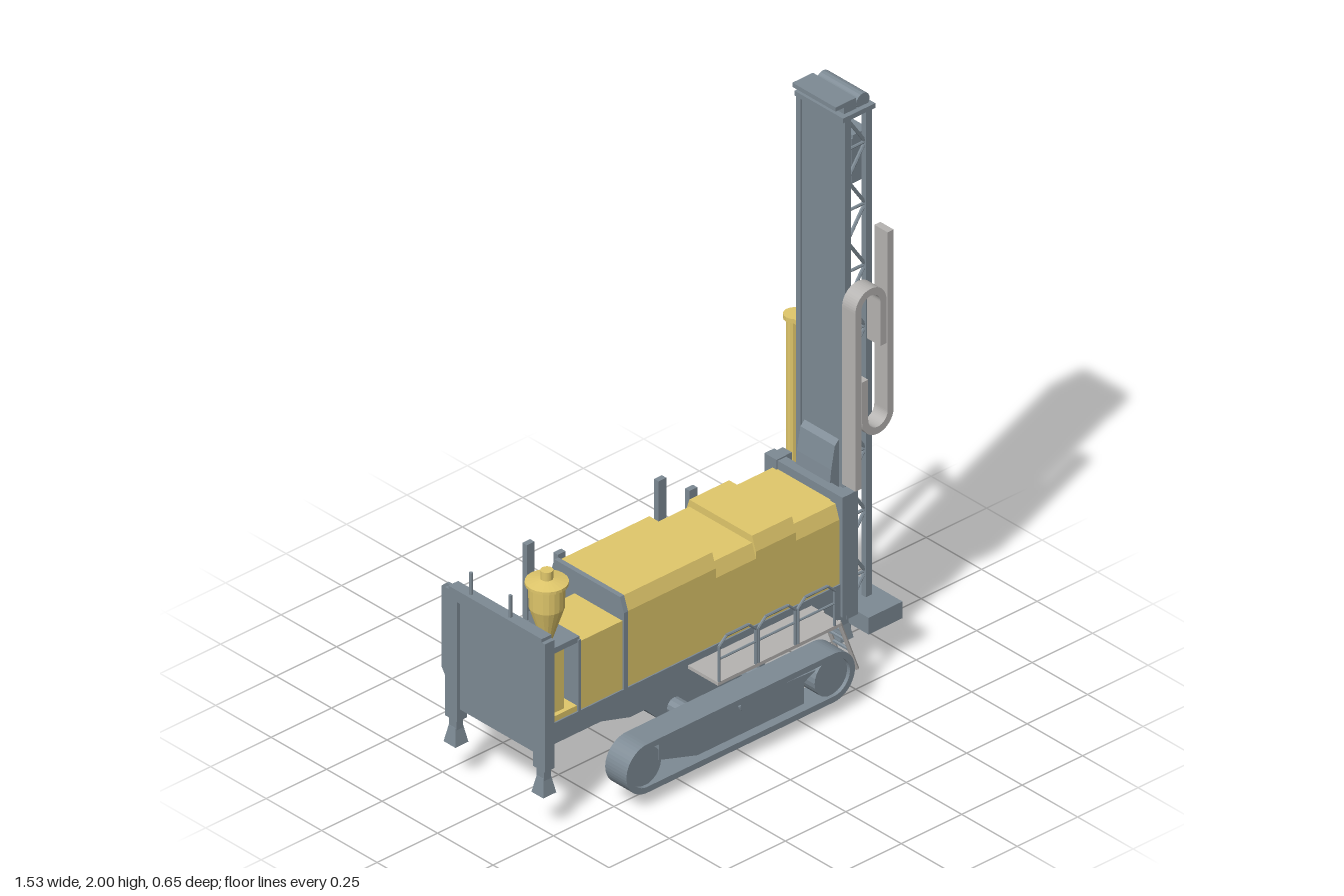
import * as THREE from 'three';

const mat = (color) => new THREE.MeshStandardMaterial({ color, flatShading: true, side: THREE.DoubleSide });

export function createModel() {
  const model = new THREE.Group();
  const steel = mat(0x7d8a94), yellow = mat(0xe0c76b), pale = mat(0xb5b3b1);

  const add = (name, geo, m, parent = model) => {
    const mesh = new THREE.Mesh(geo, m);
    mesh.name = name;
    parent.add(mesh);
    return mesh;
  };
  const group = (name) => {
    const g = new THREE.Group();
    g.name = name;
    model.add(g);
    return g;
  };
  // Box given by its extents on each axis
  const box = (name, m, x0, x1, y0, y1, z0, z1, parent) => {
    const mesh = add(name, new THREE.BoxGeometry(x1 - x0, y1 - y0, z1 - z0), m, parent);
    mesh.position.set((x0 + x1) / 2, (y0 + y1) / 2, (z0 + z1) / 2);
    return mesh;
  };
  // Round bar between two points
  const bar = (name, m, a, b, r, parent, sides = 8) => {
    const p = new THREE.Vector3(...a), q = new THREE.Vector3(...b);
    const mesh = add(name, new THREE.CylinderGeometry(r, r, p.distanceTo(q), sides), m, parent);
    mesh.position.copy(p).add(q).multiplyScalar(0.5);
    mesh.quaternion.setFromUnitVectors(new THREE.Vector3(0, 1, 0), q.sub(p).normalize());
    return mesh;
  };
  const shapeOf = (pts) => new THREE.Shape(pts.map(([x, y]) => new THREE.Vector2(x, y)));
  // Side outline in x and y, extruded from z0 to z1
  const plate = (name, m, shape, z0, z1, parent) => {
    const geo = new THREE.ExtrudeGeometry(shape, { depth: z1 - z0, bevelEnabled: false, curveSegments: 12 });
    return add(name, geo.translate(0, 0, z0), m, parent);
  };
  // Cross-section in z and y, extruded from x0 to x1
  const section = (name, m, pts, x0, x1, parent) => {
    const geo = new THREE.ExtrudeGeometry(shapeOf(pts.map(([z, y]) => [-z, y])), { depth: x1 - x0, bevelEnabled: false });
    return add(name, geo.rotateY(Math.PI / 2).translate(x0, 0, 0), m, parent);
  };

  // Chassis and undercarriage
  plate('chassis', steel, shapeOf([[-0.73, 0.26], [-0.48, 0.26], [-0.36, 0.225], [0.3, 0.225],
    [0.4, 0.2], [0.56, 0.2], [0.56, 0.335], [-0.73, 0.335]]), -0.16, 0.17);
  plate('undercarriage', steel, shapeOf([[-0.2, 0.13], [0.2, 0.13], [0.3, 0.23], [-0.3, 0.23]]), -0.1, 0.14);
  for (const x of [-0.15, 0.15]) bar('crossAxle', steel, [x, 0.165, -0.22], [x, 0.165, 0.26], 0.03, model, 12);

  // Crawler tracks: belt loop, end wheels and side frame
  const loop = (r, x0, x1) => {
    const s = new THREE.Shape();
    s.absarc(x1, 0.14, r, -Math.PI / 2, Math.PI / 2);
    s.absarc(x0, 0.14, r, Math.PI / 2, Math.PI * 1.5);
    return s;
  };
  for (const z of [0.275, -0.237]) {
    const track = group('track');
    const belt = loop(0.087, -0.428, 0.343);
    belt.holes.push(loop(0.066, -0.428, 0.343));
    plate('trackBelt', steel, belt, z - 0.048, z + 0.048, track);
    for (const x of [-0.428, 0.343]) bar('trackWheel', steel, [x, 0.14, z - 0.035], [x, 0.14, z + 0.035], 0.068, track, 24);
    plate('trackFrame', steel, shapeOf([[-0.37, 0.14], [-0.21, 0.09], [0.23, 0.09], [0.23, 0.165],
      [0.28, 0.19], [-0.25, 0.215], [-0.37, 0.205]]), z - 0.036, z + 0.036, track);
    bar('pivotPin', steel, [-0.025, 0.195, z - 0.047], [-0.025, 0.195, z + 0.047], 0.018, track, 12);
  }

  // Engine housing in stepped sections with tapering shoulders
  const housing = group('engineHousing');
  for (const [x0, x1, h] of [[-0.37, 0, 0.655], [0, 0.165, 0.62], [0.165, 0.33, 0.645], [0.33, 0.515, 0.615]])
    section('housingSection', yellow, [[-0.152, 0.335], [0.165, 0.335], [0.165, h - 0.05], [0.148, h],
      [-0.135, h], [-0.152, h - 0.05]], x0, x1, housing);
  box('rearHousing', yellow, -0.565, -0.385, 0.335, 0.58, -0.05, 0.165, housing);
  box('rearHousingEdge', steel, -0.573, -0.563, 0.335, 0.59, -0.055, 0.17, housing);
  section('bulkhead', steel, [[-0.158, 0.335], [0.172, 0.335], [0.172, 0.61], [0.154, 0.66],
    [-0.141, 0.66], [-0.158, 0.61]], -0.387, -0.37, housing);

  // Dust cyclone on its stand
  const cyclone = group('dustCyclone');
  add('cycloneBody', new THREE.LatheGeometry([[0, 0.6], [0.02, 0.6], [0.056, 0.71], [0.058, 0.79], [0.068, 0.79],
    [0.068, 0.8], [0.02, 0.81], [0.02, 0.84], [0, 0.84]].map(([r, y]) => new THREE.Vector2(r, y)), 20), yellow, cyclone)
    .position.set(-0.64, 0, 0.1);
  box('cycloneShelf', steel, -0.67, -0.565, 0.58, 0.6, 0.035, 0.165, cyclone);
  box('cycloneColumn', yellow, -0.665, -0.615, 0.35, 0.585, 0.05, 0.15, cyclone);
  box('cycloneBase', yellow, -0.695, -0.575, 0.335, 0.355, 0.03, 0.165, cyclone);
  bar('cyclonePipe', steel, [-0.685, 0.335, 0.14], [-0.685, 0.62, 0.14], 0.005, cyclone);

  // Rear and front frames with levelling jacks
  const jack = (x, z, top, parent) => {
    box('jackPost', steel, x - 0.02, x + 0.02, 0.22, top, z - 0.027, z + 0.027, parent);
    box('jackLeg', steel, x - 0.014, x + 0.014, 0.15, 0.23, z - 0.017, z + 0.017, parent);
    const foot = add('jackFoot', new THREE.CylinderGeometry(0.022, 0.038, 0.06, 4, 1, false, Math.PI / 4), steel, parent);
    foot.position.set(x, 0.16, z);
  };
  const rear = group('rearFrame');
  for (const z of [-0.198, 0.198]) jack(-0.742, z, 0.68, rear);
  box('rearPanel', steel, -0.75, -0.732, 0.26, 0.67, -0.18, 0.18, rear);
  box('rearTopRail', steel, -0.762, -0.722, 0.65, 0.692, -0.21, 0.21, rear);
  for (const z of [-0.127, 0.05]) bar('rearRod', steel, [-0.745, 0.68, z], [-0.745, 0.77, z], 0.006, rear);
  const front = group('frontFrame');
  for (const z of [-0.145, 0.152]) {
    jack(0.53, z, 0.65, front);
    box('frontPost', steel, 0.535, 0.58, 0.2, 0.645, z - 0.02, z + 0.02, front);
  }
  box('frontPanel', steel, 0.515, 0.55, 0.25, 0.645, -0.13, 0.14, front);

  // Mast: corner rails, back panel and laced sides
  const mast = group('mast');
  const zs = [-0.092, 0.107];
  for (const z of zs) {
    box('backRail', steel, 0.577, 0.602, 0.11, 1.95, z - 0.01, z + 0.01, mast);
    box('frontRail', steel, 0.664, 0.69, 0.11, 1.95, z - 0.01, z + 0.01, mast);
    const n = 16, step = 1.76 / n;
    for (let i = 0; i < n; i++) {
      const y = 0.18 + i * step, up = i % 2 ? [0.67, 0.595] : [0.595, 0.67];
      bar('lacing', steel, [up[0], y, z], [up[1], y + step, z], 0.006, mast, 6);
      if (i % 2) bar('strut', steel, [0.595, y, z], [0.67, y, z], 0.005, mast, 6);
    }
  }
  box('backPanel', steel, 0.582, 0.59, 0.12, 1.95, -0.09, 0.105, mast);
  box('mastBase', steel, 0.59, 0.73, 0.14, 0.2, -0.19, 0.21, mast);
  box('crownPlate', steel, 0.57, 0.703, 1.94, 1.957, -0.102, 0.117, mast);
  box('crownBeam', steel, 0.59, 0.64, 1.957, 1.985, -0.08, 0.1, mast);
  box('crownCap', steel, 0.55, 0.635, 1.985, 2, -0.09, 0.105, mast);
  bar('crownSheave', steel, [0.668, 1.973, -0.08], [0.668, 1.973, 0.1], 0.027, mast, 16);
  plate('mastBracket', steel, shapeOf([[0.54, 0.6], [0.585, 0.6], [0.585, 0.79], [0.565, 0.77], [0.55, 0.69]]), -0.07, 0.085, mast);
  box('mastMount', steel, 0.53, 0.6, 0.21, 0.33, -0.08, 0.095, mast);

  // Drill string and rotary head
  const drill = group('drill');
  bar('drillRod', steel, [0.667, 0, 0.01], [0.667, 1.7, 0.01], 0.015, drill, 12);
  bar('rodCollar', steel, [0.667, 1.66, 0.01], [0.667, 1.69, 0.01], 0.022, drill, 12);
  box('headCarriage', steel, 0.625, 0.668, 1.69, 1.85, -0.075, 0.095, drill);
  bar('headGearbox', steel, [0.667, 1.69, 0.01], [0.667, 1.78, 0.01], 0.035, drill, 12);
  for (const z of [-0.042, 0.062]) bar('headMotor', steel, [0.675, 1.72, z], [0.675, 1.8, z], 0.02, drill, 10);
  box('carriageTop', steel, 0.63, 0.695, 1.84, 1.862, -0.075, 0.095, drill);

  // Flat hose carriers: an arch above and a return bend below
  const band = (name, xc, r, yc, dir, endLeft, endRight) => {
    const s = new THREE.Shape(), t = 0.025;
    s.moveTo(xc - r, endLeft);
    s.lineTo(xc - r, yc);
    s.absarc(xc, yc, r, Math.PI, 0, dir > 0);
    s.lineTo(xc + r, endRight);
    s.lineTo(xc + r - t, endRight);
    s.lineTo(xc + r - t, yc);
    s.absarc(xc, yc, r - t, 0, Math.PI, dir < 0 ? true : false);
    s.lineTo(xc - r + t, endLeft);
    plate(name, pale, s, 0.12, 0.18);
  };
  band('hoseArch', 0.627, 0.064, 1.288, 1, 0.65, 1.13);
  band('hoseBend', 0.656, 0.065, 0.885, -1, 1.03, 1.525);

  // Dust suction pipes beside the mast
  const suction = group('suctionPipes');
  bar('tallPipe', yellow, [0.64, 0.23, -0.19], [0.64, 1.08, -0.19], 0.018, suction, 12);
  for (const y of [0.235, 1.077]) {
    box('pipeArm', yellow, 0.625, 0.675, y - 0.008, y + 0.008, -0.19, -0.095, suction);
    bar('pipeFlange', yellow, [0.65, y - 0.008, -0.19], [0.65, y + 0.008, -0.19], 0.035, suction, 16);
  }
  box('pipeLink', yellow, 0.64, 0.71, 0.28, 0.33, -0.225, -0.18, suction);
  box('pipeBox', yellow, 0.69, 0.765, 0.265, 0.35, -0.265, -0.19, suction);
  box('outerPipe', yellow, 0.728, 0.757, 0.35, 1.03, -0.255, -0.223, suction);

  // Drill pipe rack on the back side
  const rack = group('pipeRack');
  box('rackTray', steel, -0.68, 0.46, 0.3, 0.32, -0.305, -0.185, rack);
  for (const z of [-0.303, -0.19]) box('rackLip', steel, -0.68, 0.46, 0.3, 0.35, z - 0.005, z + 0.005, rack);
  for (const z of [-0.28, -0.246, -0.212]) bar('sparePipe', pale, [-0.66, 0.342, z], [0.45, 0.342, z], 0.017, rack, 12);
  for (const x of [-0.335, 0.21]) {
    box('rackOuterPost', steel, x - 0.016, x + 0.016, 0.27, 0.62, -0.325, -0.305, rack);
    box('rackInnerPost', steel, x - 0.016, x + 0.016, 0.27, 0.65, -0.185, -0.165, rack);
    box('rackArm', steel, x - 0.016, x + 0.016, 0.27, 0.3, -0.325, -0.15, rack);
  }
  section('rackEndPlate', steel, [[-0.185, 0.27], [-0.29, 0.27], [-0.322, 0.32], [-0.322, 0.61], [-0.3, 0.63], [-0.185, 0.63]],
    -0.688, -0.678, rack);

  // Walkway, hoop railings and ladder
  const walkway = group('walkway');
  box('walkwayDeck', pale, -0.12, 0.39, 0.298, 0.31, 0.165, 0.305, walkway);
  for (let i = 0; i < 3; i++) {
    const x0 = -0.113 + i * 0.163, x1 = x0 + 0.152;
    const pts = [[x0, 0.31], [x0, 0.435], [x0 + 0.03, 0.463], [x1 - 0.03, 0.463], [x1, 0.435], [x1, 0.31]];
    for (let j = 0; j < 5; j++) bar('railing', steel, [...pts[j], 0.302], [...pts[j + 1], 0.302], 0.005, walkway, 6);
    bar('midRail', steel, [x0, 0.39, 0.302], [x1, 0.39, 0.302], 0.004, walkway, 6);
  }
  for (const z of [0.212, 0.288]) bar('ladderRail', pale, [0.395, 0.305, z], [0.47, 0.105, z], 0.007, walkway, 6);
  for (let i = 1; i < 5; i++) {
    const x = 0.395 + 0.015 * i, y = 0.305 - 0.04 * i;
    bar('ladderRung', steel, [x, y, 0.212], [x, y, 0.288], 0.006, walkway, 6);
  }
  return model;
}
